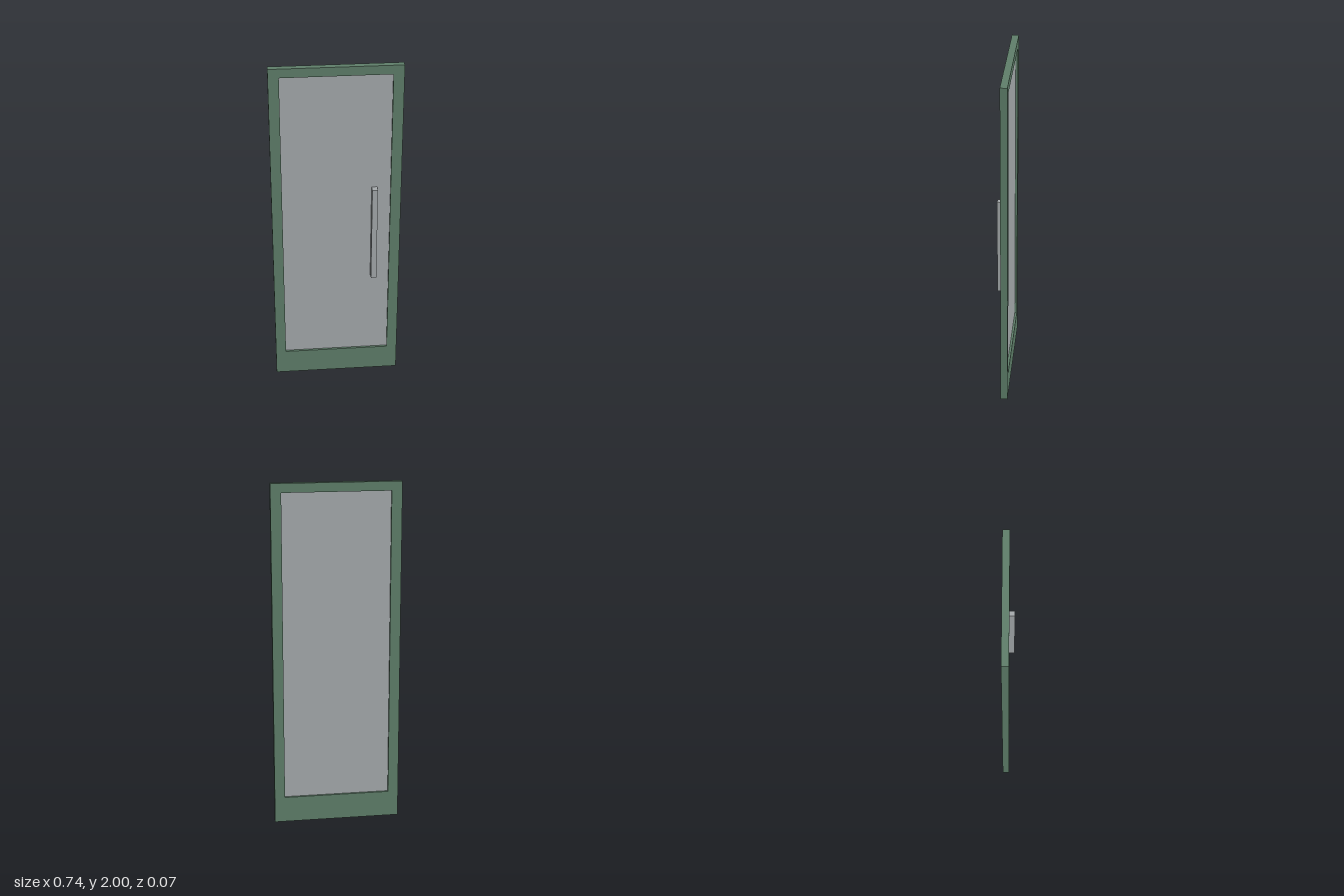
import * as THREE from 'three';

export function createModel() {
  const model = new THREE.Group();
  model.name = 'door';
  const green = new THREE.MeshStandardMaterial({ name: 'greenFrame', color: 0x5f7f6a });
  const grey = new THREE.MeshStandardMaterial({ name: 'paleGrey', color: 0xa6abad });

  // Box given by its two opposite corners
  const addBox = (name, material, [x0, y0, z0], [x1, y1, z1]) => {
    const mesh = new THREE.Mesh(new THREE.BoxGeometry(x1 - x0, y1 - y0, z1 - z0), material);
    mesh.position.set((x0 + x1) / 2, (y0 + y1) / 2, (z0 + z1) / 2);
    mesh.name = name;
    model.add(mesh);
  };

  const halfWidth = 0.369, halfOpening = 0.309, sill = 0.152, head = 1.948;
  const back = -0.035, front = 0.004;

  // Frame: one slab with the window opening cut out, deep rail at the bottom
  const outline = new THREE.Shape();
  outline.moveTo(-halfWidth, 0).lineTo(halfWidth, 0).lineTo(halfWidth, 2).lineTo(-halfWidth, 2).closePath();
  const opening = new THREE.Path();
  opening.moveTo(-halfOpening, sill).lineTo(-halfOpening, head).lineTo(halfOpening, head).lineTo(halfOpening, sill).closePath();
  outline.holes.push(opening);
  const frame = new THREE.Mesh(
    new THREE.ExtrudeGeometry(outline, { depth: front - back, bevelEnabled: false }), green);
  frame.position.z = back;
  frame.name = 'frame';
  model.add(frame);

  // Recessed pane and the upright pull bar standing on it
  addBox('pane', grey, [-halfOpening, sill, -0.022], [halfOpening, head, -0.009]);
  addBox('handle', grey, [0.201, 0.676, -0.009], [0.233, 1.26, 0.034]);

  return model;
}
